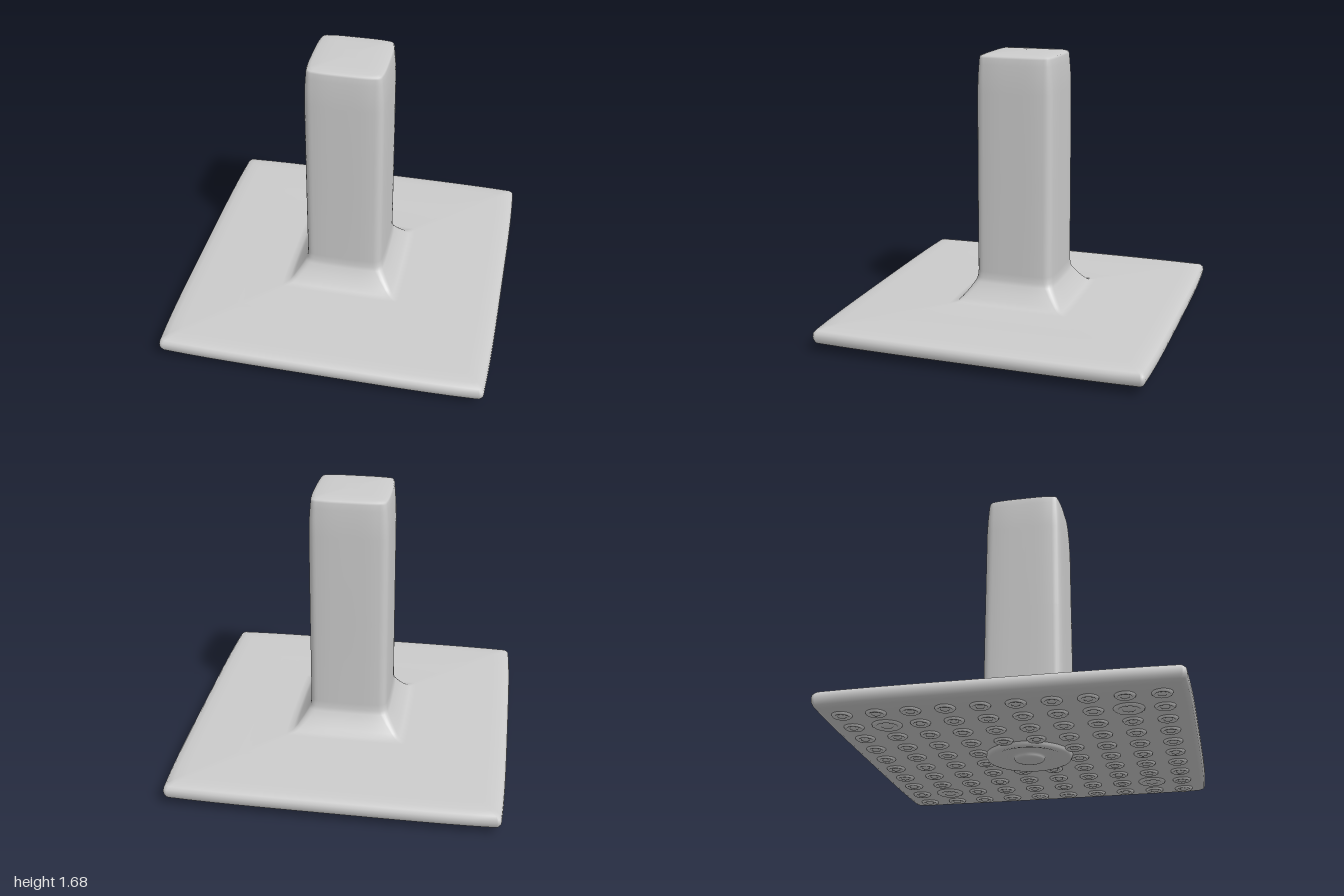
import * as THREE from 'three';

const material = new THREE.MeshStandardMaterial({ color: 0xcccccc });

// Rounded square with softly bowed sides: h half width, r corner radius, b bow depth
function squareRing(h, r, b) {
  const pts = [], c = h - b - r, sideSteps = 14, arcSteps = 5;
  for (let k = 0; k < 4; k++) {
    const quarter = [];
    for (let i = 0; i <= sideSteps; i++) {
      const s = -1 + (2 * i) / sideSteps;
      quarter.push([h - b * s ** 4, s * c]);
    }
    for (let i = 1; i < arcSteps; i++) {
      const a = (i / arcSteps) * Math.PI / 2;
      quarter.push([c + r * Math.cos(a), c + r * Math.sin(a)]);
    }
    for (let [u, v] of quarter) {
      for (let n = 0; n < k; n++) [u, v] = [-v, u];
      pts.push([u, -v]);
    }
  }
  return pts;
}

// Skin a stack of rings [y, h, r, b] from bottom to top, closed at both ends
function loft(sections) {
  const pos = [], index = [];
  let n = 0;
  for (const [y, h, r, b] of sections) {
    const ring = squareRing(h, r, b);
    n = ring.length;
    for (const [x, z] of ring) pos.push(x, y, z);
  }
  const m = sections.length;
  for (let i = 0; i < m - 1; i++) {
    for (let j = 0; j < n; j++) {
      const a = i * n + j, b = i * n + (j + 1) % n;
      index.push(a, b, b + n, a, b + n, a + n);
    }
  }
  const low = m * n, high = low + 1;
  pos.push(0, sections[0][0], 0, 0, sections[m - 1][0], 0);
  for (let j = 0; j < n; j++) {
    const k = (j + 1) % n;
    index.push(low, k, j, high, (m - 1) * n + j, (m - 1) * n + k);
  }
  const g = new THREE.BufferGeometry();
  g.setAttribute('position', new THREE.Float32BufferAttribute(pos, 3));
  g.setIndex(index);
  g.computeVertexNormals();
  return g;
}

const lathe = (profile, segments) =>
  new THREE.LatheGeometry(profile.map(([x, y]) => new THREE.Vector2(x, y)), segments);

function addMesh(parent, name, geometry) {
  const mesh = new THREE.Mesh(geometry, material);
  mesh.name = name;
  parent.add(mesh);
  return mesh;
}

export function createModel() {
  const model = new THREE.Group();
  model.name = 'showerHead';

  // Plate, flared neck and square stem as one continuous skin
  addMesh(model, 'plateAndStem', loft([
    [0.036, 0.3, 0.02, 0.002],
    [0.036, 0.88, 0.02, 0.008],
    [0.038, 0.925, 0.02, 0.01],
    [0.044, 0.965, 0.022, 0.012],
    [0.056, 0.988, 0.024, 0.013],
    [0.075, 0.998, 0.025, 0.014],
    [0.095, 1.0, 0.025, 0.014],
    [0.115, 0.997, 0.025, 0.014],
    [0.131, 0.983, 0.024, 0.013],
    [0.141, 0.945, 0.022, 0.012],
    [0.146, 0.88, 0.02, 0.01],
    [0.152, 0.6, 0.02, 0.008],
    [0.156, 0.38, 0.02, 0.006],
    [0.162, 0.342, 0.025, 0.006],
    [0.185, 0.318, 0.03, 0.006],
    [0.23, 0.284, 0.038, 0.006],
    [0.275, 0.256, 0.045, 0.006],
    [0.3, 0.248, 0.048, 0.006],
    [0.34, 0.245, 0.05, 0.006],
    [0.9, 0.244, 0.05, 0.006],
    [1.45, 0.243, 0.05, 0.007],
    [1.55, 0.24, 0.046, 0.008],
    [1.62, 0.235, 0.04, 0.009],
    [1.658, 0.231, 0.035, 0.009],
    [1.67, 0.226, 0.032, 0.009],
    [1.677, 0.205, 0.03, 0.007],
    [1.682, 0.15, 0.02, 0.005],
    [1.685, 0.06, 0.01, 0.002],
  ]));

  // Dished centre disc with a raised knob
  addMesh(model, 'centreDisc', lathe([
    [0, 0], [0.07, 0], [0.083, 0.003], [0.09, 0.012], [0.094, 0.026],
    [0.13, 0.027], [0.18, 0.022], [0.212, 0.012], [0.232, 0.009],
    [0.246, 0.013], [0.253, 0.024], [0.257, 0.038],
  ], 48));

  // Grid of spray nozzles, leaving out the four under the disc
  const nozzle = lathe([
    [0, 0.023], [0.016, 0.023], [0.022, 0.026], [0.026, 0.032], [0.034, 0.032],
    [0.04, 0.025], [0.048, 0.024], [0.054, 0.029], [0.057, 0.038],
  ], 18);
  const nozzles = new THREE.Group();
  nozzles.name = 'nozzles';
  model.add(nozzles);
  const count = 10, extent = 0.85;
  const isSecond = i => i === 1 || i === count - 2;
  const isMiddle = i => i === 4 || i === 5;
  for (let i = 0; i < count; i++) {
    for (let j = 0; j < count; j++) {
      if (isMiddle(i) && isMiddle(j)) continue;
      const large = isSecond(i) && isSecond(j);
      const mesh = addMesh(nozzles, large ? 'largeNozzle' : 'nozzle', nozzle);
      mesh.position.x = extent * (2 * i / (count - 1) - 1);
      mesh.position.z = extent * (2 * j / (count - 1) - 1);
      if (large) mesh.scale.set(1.5, 1, 1.5);
    }
  }
  return model;
}
